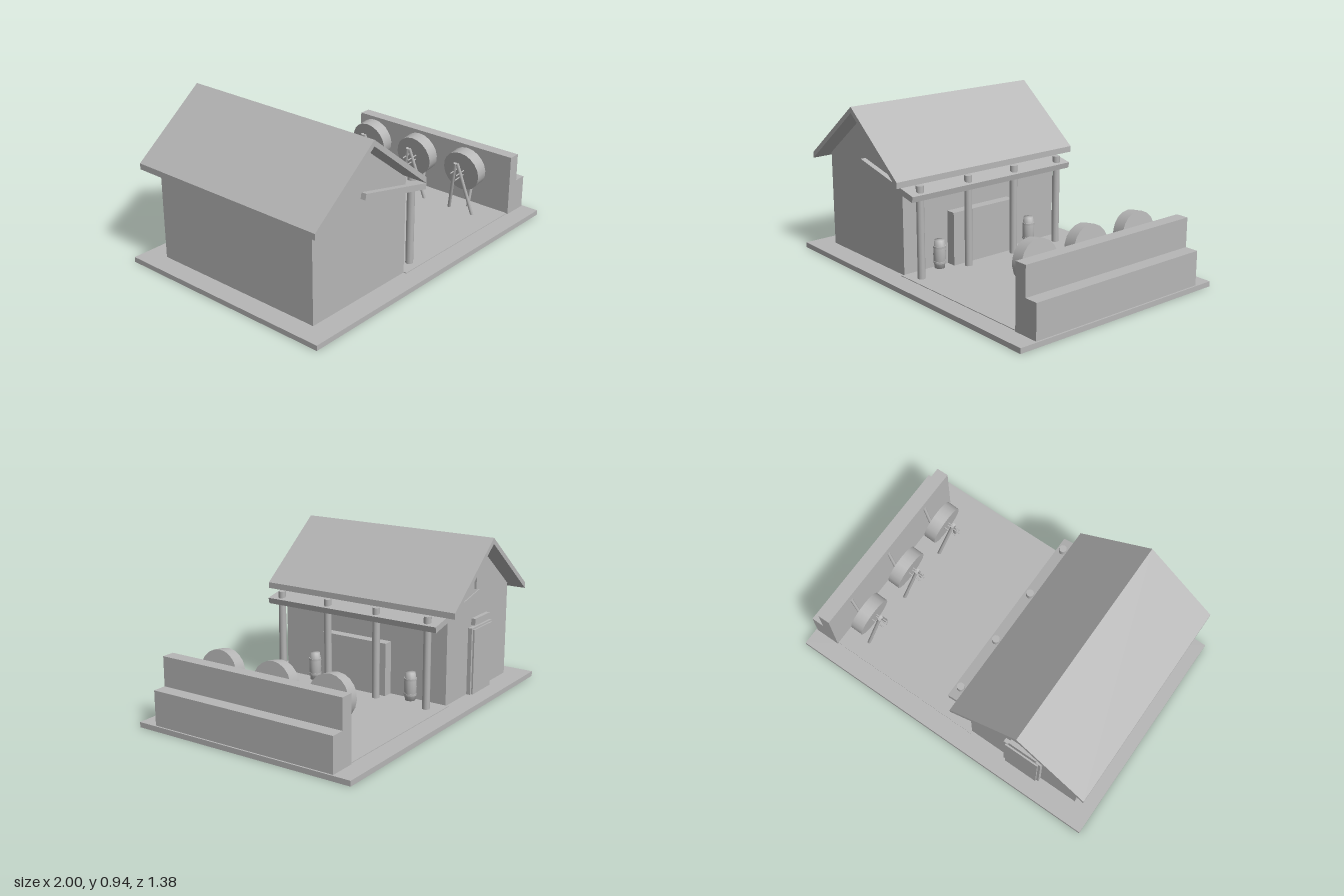
import * as THREE from 'three';

export function createModel() {
  const model = new THREE.Group();
  const grey = new THREE.MeshStandardMaterial({ color: 0xb6b6b6 });
  grey.name = 'plain grey';

  const add = (name, geometry, parent = model) => {
    const mesh = new THREE.Mesh(geometry, grey);
    mesh.name = name;
    parent.add(mesh);
    return mesh;
  };
  // Box given by its minimum and maximum corners
  const box = (name, x0, x1, y0, y1, z0, z1) => {
    const mesh = add(name, new THREE.BoxGeometry(x1 - x0, y1 - y0, z1 - z0));
    mesh.position.set((x0 + x1) / 2, (y0 + y1) / 2, (z0 + z1) / 2);
    return mesh;
  };
  // Outline in x and y, extruded from z0 to z1
  const prism = (name, points, z0, z1) => {
    const shape = new THREE.Shape(points.map(([x, y]) => new THREE.Vector2(x, y)));
    const geometry = new THREE.ExtrudeGeometry(shape, { depth: z1 - z0, bevelEnabled: false });
    return add(name, geometry.translate(0, 0, z0));
  };
  // Round rod between two points
  const rod = (name, a, b, radius, parent = model) => {
    const from = new THREE.Vector3(...a), to = new THREE.Vector3(...b);
    const dir = to.clone().sub(from);
    const mesh = add(name, new THREE.CylinderGeometry(radius, radius, dir.length(), 10), parent);
    mesh.position.copy(from).add(to).multiplyScalar(0.5);
    mesh.quaternion.setFromUnitVectors(new THREE.Vector3(0, 1, 0), dir.normalize());
    return mesh;
  };

  // Ground
  box('base', -1, 1, 0, 0.03, -0.69, 0.69);
  box('yardFloor', -0.15, 0.835, 0.03, 0.034, -0.575, 0.575);

  // House with a gabled roof
  prism('houseBody', [[-0.88, 0.03], [-0.15, 0.03], [-0.15, 0.6], [-0.515, 0.885], [-0.88, 0.6]], -0.556, 0.556);
  prism('houseRoof', [[-0.95, 0.565], [-0.515, 0.91], [-0.08, 0.565], [-0.08, 0.6],
    [-0.515, 0.945], [-0.95, 0.6]], -0.64, 0.64);

  // Back door, lintel and loft hatch
  box('backDoorFrame', -0.64, -0.395, 0.03, 0.43, -0.58, -0.55);
  box('backDoor', -0.625, -0.41, 0.03, 0.42, -0.59, -0.57);
  box('backDoorLintel', -0.61, -0.43, 0.44, 0.48, -0.582, -0.55);
  prism('loftHatch', [[-0.585, 0.65], [-0.455, 0.65], [-0.455, 0.76], [-0.52, 0.81], [-0.585, 0.76]], -0.57, -0.55);

  // Porch
  const porch = add('porchRoof', new THREE.BoxGeometry(0.516, 0.035, 1.15));
  porch.position.set(-0.263, 0.565, 0.013);
  porch.rotation.z = -0.219;
  for (const z of [-0.49, -0.155, 0.18, 0.513]) {
    rod('porchPost', [-0.045, 0.03, z], [-0.045, 0.57, z], 0.022);
  }
  box('porchDoor', -0.16, -0.09, 0.03, 0.35, -0.19, 0.25);

  // Barrels beside the porch door
  const stave = [[0, 0], [0.029, 0], [0.035, 0.05], [0.037, 0.085], [0.035, 0.12], [0.029, 0.17], [0, 0.17]]
    .map(([r, y]) => new THREE.Vector2(r, y));
  for (const z of [-0.34, 0.33]) {
    const barrel = new THREE.Group();
    barrel.name = 'barrel';
    barrel.position.set(-0.122, 0.03, z);
    add('barrelBody', new THREE.LatheGeometry(stave, 14), barrel);
    for (const y of [0.04, 0.13]) {
      const hoop = add('barrelHoop', new THREE.CylinderGeometry(0.037, 0.037, 0.012, 14), barrel);
      hoop.position.y = y;
    }
    model.add(barrel);
  }

  // Stepped wall behind the targets
  prism('backstopWall', [[0.835, 0.03], [0.99, 0.03], [0.99, 0.23], [0.91, 0.23], [0.91, 0.4], [0.835, 0.4]], -0.582, 0.582);

  // Round targets on three-legged stands
  for (const z of [-0.38, -0.02, 0.34]) {
    const target = new THREE.Group();
    target.name = 'target';
    target.position.z = z;
    const disc = add('targetDisc', new THREE.CylinderGeometry(0.125, 0.125, 0.075, 20), target);
    disc.position.set(0.709, 0.304, 0);
    disc.rotation.z = -1.43;
    for (const side of [-1, 1]) {
      rod('frontLeg', [0.685, 0.03, side * 0.085], [0.62, 0.365, side * 0.008], 0.01, target);
    }
    rod('rearLeg', [0.762, 0.03, 0], [0.835, 0.35, 0], 0.01, target);
    // Arrows stuck in the face
    for (const [y, dz] of [[0.275, 0.015], [0.31, -0.02], [0.305, 0.02]]) {
      rod('arrow', [0.59, y - 0.006, dz], [0.69, y + 0.006, dz], 0.004, target);
    }
    model.add(target);
  }

  return model;
}
